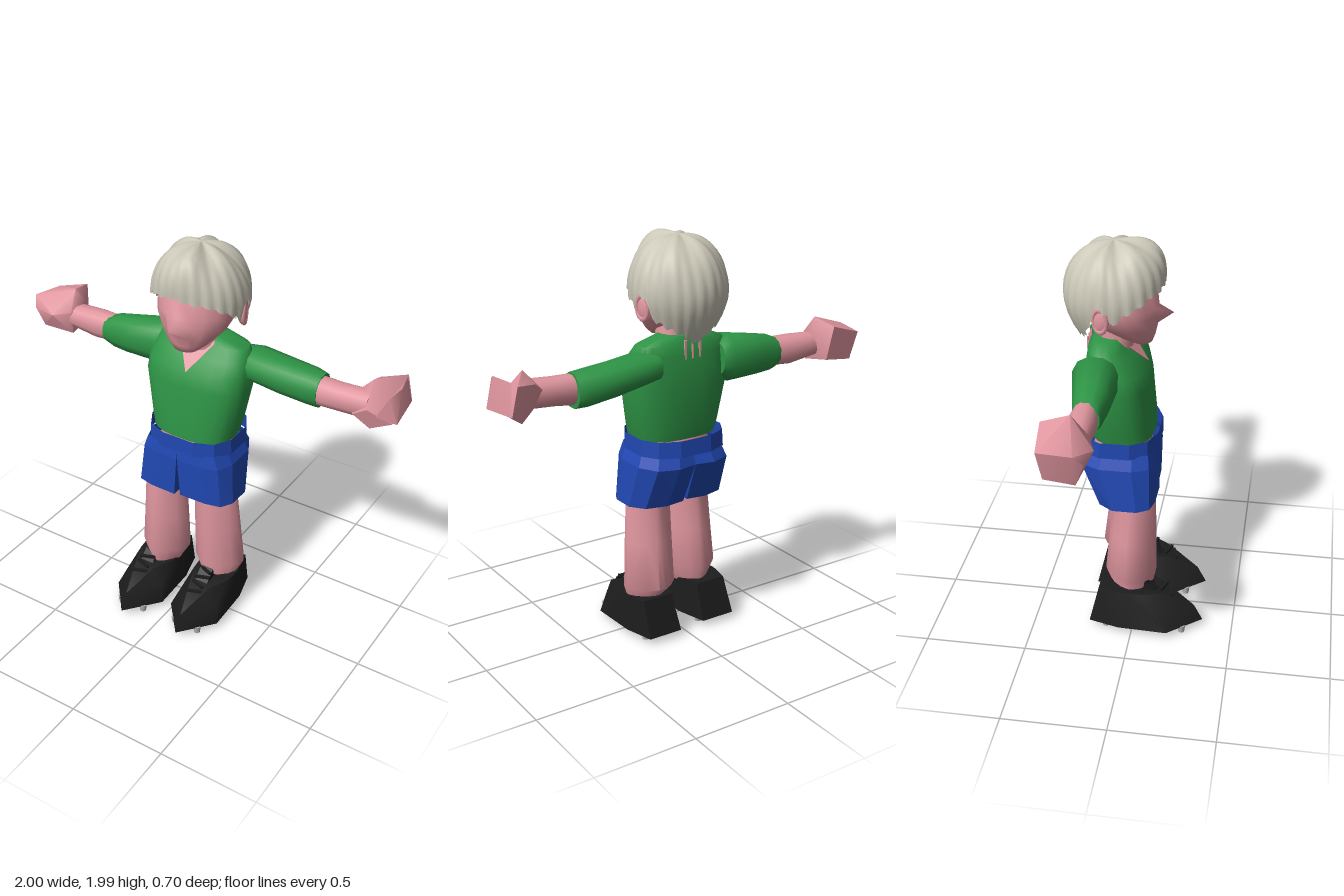
import * as THREE from 'three';
import { toCreasedNormals, mergeVertices } from 'three/addons/utils/BufferGeometryUtils.js';
import { ConvexGeometry } from 'three/addons/geometries/ConvexGeometry.js';

const mat = (name, color, side = THREE.FrontSide) =>
  Object.assign(new THREE.MeshStandardMaterial({ color, side }), { name });
const skin = mat('skin', 0xe0969f);
const shirt = mat('shirt green', 0x2e9446);
const blue = mat('shorts blue', 0x2148b2, THREE.DoubleSide);
const black = mat('boot black', 0x1d1d1d);
const blond = mat('hair blond', 0xcac7b7, THREE.DoubleSide);
const metal = mat('stud grey', 0xb4b4b0);

function add(parent, name, geometry, material, x = 0, y = 0, z = 0) {
  const mesh = new THREE.Mesh(geometry, material);
  mesh.name = name;
  mesh.position.set(x, y, z);
  parent.add(mesh);
  return mesh;
}

function indexed(pos, idx, crease) {
  const g = new THREE.BufferGeometry();
  g.setAttribute('position', new THREE.Float32BufferAttribute(pos, 3));
  g.setIndex(idx);
  return toCreasedNormals(g, crease);
}

// Unit outline: an ellipse, squarer as power drops, nearer a diamond as it grows
const round = (sides, power) => Array.from({ length: sides }, (_, j) => {
  const a = ((j + 0.5) / sides) * Math.PI * 2;
  return [Math.cos(a), Math.sin(a)].map(c => Math.sign(c) * Math.abs(c) ** power);
});

// Skin over scaled outlines. Along y: [y, x0, x1, z0, z1]; along x: [x, z0, z1, y0, y1].
function loft(axis, rings, { outline = round(16, 0.85), crease = 0.9, caps = true } = {}) {
  const pos = [], idx = [], sides = outline.length, n = rings.length;
  const put = (p, u, v) => (axis === 'y' ? pos.push(u, p, v) : pos.push(p, v, u));
  rings = [...rings].sort((a, b) => a[0] - b[0]);
  for (const [p, u0, u1, v0, v1] of rings) {
    for (const [u, v] of outline) put(p, (u0 + u1 + u * (u1 - u0)) / 2, (v0 + v1 + v * (v1 - v0)) / 2);
  }
  if (caps) for (const r of [rings[0], rings[n - 1]]) put(r[0], (r[1] + r[2]) / 2, (r[3] + r[4]) / 2);
  for (let j = 0; j < sides; j++) {
    const k = (j + 1) % sides, last = (n - 1) * sides, c = n * sides;
    for (let i = 0; i < last; i += sides) {
      idx.push(i + j, i + j + sides, i + k + sides, i + j, i + k + sides, i + k);
    }
    if (caps) idx.push(c, j, k, c + 1, last + k, last + j);
  }
  return indexed(pos, idx, crease);
}

function hull(points, crease) {
  const g = new ConvexGeometry(points.map(p => new THREE.Vector3(...p)));
  g.deleteAttribute('normal');
  return toCreasedNormals(mergeVertices(g), crease);
}

// Hair cap: a dome with ridged locks, a swept-up front and a hem that dips behind the ears
function hairGeometry() {
  const hem = [[0, 1.785], [0.7, 1.76], [1.2, 1.7], [1.5, 1.65], [1.7, 1.74], [1.85, 1.7], [2, 1.61], [2.5, 1.56], [3.15, 1.49]];
  const N = 96, M = 14, pos = [], idx = [];
  for (let i = 0; i <= M; i++) {
    const t = i / M, arch = Math.sin(Math.PI * t);
    for (let j = 0; j <= N; j++) {
      const phi = ((j % N) / N) * Math.PI * 2, fold = Math.min(phi, Math.PI * 2 - phi);
      const k = Math.max(1, hem.findIndex(h => h[0] >= fold));
      const [[a, ya], [b, yb]] = [hem[k - 1], hem[k]];
      const lock = Math.abs(Math.sin(phi * 12 + Math.sin(t * 5) * 0.5));
      const bottom = ya + (yb - ya) * (fold - a) / (b - a) + (fold < 1.2 ? 0.012 : 0.03) * (0.6 - lock);
      const y = 1.975 - (1.975 - bottom) * t * t;
      const h = (y - 1.72) / 0.255;
      const sweep = Math.max(0, Math.cos(phi)) ** 4 * arch;
      let r = h > 0 ? Math.max(0, 1 - h ** 2.15) ** 0.465 : 1 - 0.4 * ((1.72 - y) / 0.22) ** 1.7;
      r = r * (0.97 + 0.05 * lock * t) + 0.17 * sweep;
      const ruffle = 0.012 * Math.sin(phi * 6) * arch + 0.022 * sweep;
      pos.push(Math.sin(phi) * r * 0.23, y + ruffle, -0.115 + Math.cos(phi) * r * 0.236);
      const v = i * (N + 1) + j, d = v + N + 1;
      if (i < M && j < N) idx.push(v, d, d + 1, v, d + 1, v + 1);
    }
  }
  return indexed(pos, idx, 0.6);
}

// Face with the middle front point drawn out to a nose
function faceGeometry() {
  const g = loft('y', [[1.495, -0.06, 0.06, -0.03, 0.062], [1.53, -0.105, 0.105, -0.1, 0.075],
    [1.585, -0.155, 0.155, -0.2, 0.087], [1.64, -0.182, 0.182, -0.245, 0.095], [1.68, -0.19, 0.19, -0.265, 0.091],
    [1.8, -0.185, 0.185, -0.28, 0.08], [1.9, -0.12, 0.12, -0.22, 0.02]], { outline: round(18, 1) });
  const p = g.attributes.position;
  for (let i = 0; i < p.count; i++) {
    if (Math.abs(p.getX(i)) < 0.01 && Math.abs(p.getY(i) - 1.64) < 0.01 && p.getZ(i) > 0) p.setZ(i, 0.16);
  }
  return toCreasedNormals(g, Math.PI);
}

function buildHead() {
  const head = new THREE.Group();
  head.name = 'head';
  add(head, 'face', faceGeometry(), skin);
  add(head, 'hair', hairGeometry(), blond);
  for (const s of [-1, 1]) {
    const ear = add(head, 'ear', new THREE.SphereGeometry(1, 10, 8), skin, s * 0.202, 1.665, -0.145);
    ear.scale.set(0.022, 0.065, 0.042);
    ear.rotation.set(0.15, s * 0.3, 0);
    const rim = add(head, 'earRim', new THREE.TorusGeometry(0.04, 0.01, 6, 14), skin, s * 0.214, 1.667, -0.147);
    rim.scale.set(0.85, 1.35, 1);
    rim.rotation.y = Math.PI / 2 + s * 0.3;
  }
  return head;
}

function buildBoot(name, cx, z) {
  const boot = new THREE.Group();
  boot.name = name;
  const points = [[0, 0.035, 0.335], [0, 0.12, 0.29]];
  for (const s of [-1, 1]) {
    points.push([s * 0.09, 0.035, -0.23], [s * 0.13, 0.035, -0.08], [s * 0.14, 0.035, 0.165],
      [0.018 + s * 0.08, 0.225, -0.185], [0.018 + s * 0.108, 0.22, -0.06], [0.018 + s * 0.1, 0.215, 0.03],
      [0.01 + s * 0.055, 0.205, 0.13], [0.01 + s * 0.115, 0.12, 0.14]);
    for (const [dx, dz] of [[0.068, -0.15], [0.08, 0.12], [0.066, 0.235]]) {
      add(boot, 'stud', new THREE.CylinderGeometry(0.02, 0.016, 0.038, 8), metal, s * dx, 0.019, dz);
    }
  }
  add(boot, 'upper', hull(points, 0.6), black);
  add(boot, 'tongue', hull([[-0.03, 0.19, 0.12], [0.04, 0.19, 0.12], [-0.03, 0.265, 0.045], [0.04, 0.265, 0.045],
    [-0.03, 0.2, 0.03], [0.04, 0.2, 0.03]], 0.3), black);
  for (let i = 0; i < 4; i++) {
    const lace = add(boot, 'lace', new THREE.BoxGeometry(0.08, 0.013, 0.013), black, 0.005, 0.255 - i * 0.02, 0.06 + i * 0.037);
    lace.rotation.y = i % 2 ? 0.35 : -0.35;
  }
  boot.position.set(cx, 0, z);
  return boot;
}

export function createModel() {
  const model = new THREE.Group();
  model.name = 'footballPlayer';
  model.add(buildHead(), buildBoot('leftBoot', 0.142, 0), buildBoot('rightBoot', -0.182, 0.015));

  // Torso
  add(model, 'neck', loft('y', [[1.4, -0.1, 0.12, -0.2, -0.04], [1.51, -0.09, 0.1, -0.19, -0.02], [1.58, -0.09, 0.09, -0.2, 0]]), skin);
  add(model, 'jersey', loft('y', [[1.028, -0.2, 0.22, -0.222, 0.08], [1.09, -0.215, 0.235, -0.235, 0.077],
    [1.3, -0.258, 0.275, -0.248, 0.055], [1.38, -0.25, 0.27, -0.245, 0.038], [1.44, -0.235, 0.262, -0.238, -0.018],
    [1.49, -0.215, 0.24, -0.23, -0.058], [1.525, -0.12, 0.13, -0.21, -0.08]], { outline: round(24, 0.75) }), shirt);
  add(model, 'vNeckSkin', hull([[0.015, 1.378, 0.044], [-0.08, 1.505, -0.062], [0.105, 1.505, -0.062],
    [0.015, 1.44, -0.1], [-0.06, 1.53, -0.1], [0.085, 1.53, -0.1]], 0.1), skin);
  for (const x of [-0.04, 0, 0.04]) add(model, 'napeStrand', new THREE.BoxGeometry(0.01, 0.09, 0.008), skin, x, 1.465, -0.236);
  add(model, 'belly', loft('y', [[0.9, -0.18, 0.2, -0.22, 0.06], [0.95, -0.18, 0.2, -0.22, 0.06], [1.04, -0.17, 0.19, -0.19, 0.05]]), skin);

  // Shorts: pleated legs that meet at the middle, under a waistband
  const band = { outline: round(12, 0.75), crease: 0.1, caps: false };
  const pleats = [[1, -0.35], [1, 0.45], [0.72, 0.86], [0.1, 0.98], [-1, 1], [-1, -0.9], [-0.2, -1], [0.6, -0.82]];
  const mirrored = pleats.map(([u, v]) => [-u, v]).reverse();
  add(model, 'waistband', loft('y', [[0.965, -0.228, 0.243, -0.29, 0.11], [1.045, -0.224, 0.24, -0.285, 0.108]], band), blue);
  add(model, 'leftShortsLeg', loft('y', [[0.7, 0.014, 0.27, -0.2, 0.092], [0.91, 0.001, 0.25, -0.288, 0.1],
    [0.975, 0, 0.222, -0.262, 0.092]], { ...band, outline: pleats }), blue);
  add(model, 'rightShortsLeg', loft('y', [[0.7, -0.262, -0.014, -0.19, 0.102], [0.91, -0.238, -0.001, -0.288, 0.102],
    [0.975, -0.208, 0, -0.262, 0.092]], { ...band, outline: mirrored }), blue);
  add(model, 'shortsSeam', new THREE.BoxGeometry(0.032, 0.2, 0.14), blue, 0, 0.84, -0.04);

  // Legs
  const limb = { outline: round(16, 1.3) };
  add(model, 'leftLeg', loft('y', [[0.15, 0.06, 0.24, -0.14, 0.03], [0.21, 0.045, 0.255, -0.155, 0.035],
    [0.27, 0.006, 0.283, -0.208, 0.042], [0.5, 0.008, 0.268, -0.178, 0.046], [0.7, 0.01, 0.253, -0.153, 0.046],
    [0.92, 0.02, 0.22, -0.17, 0.03]], limb), skin);
  add(model, 'rightLeg', loft('y', [[0.15, -0.24, -0.07, -0.12, 0.08], [0.21, -0.23, -0.05, -0.12, 0.09],
    [0.29, -0.275, -0.006, -0.15, 0.108], [0.5, -0.258, -0.01, -0.13, 0.105], [0.7, -0.243, -0.016, -0.11, 0.102],
    [0.92, -0.21, -0.02, -0.14, 0.07]], limb), skin);

  // Left arm with a half-open hand
  const arm = { outline: round(12, 0.85) };
  add(model, 'leftSleeve', loft('x', [[0.18, -0.27, -0.1, 1.34, 1.46], [0.27, -0.29, -0.08, 1.325, 1.47],
    [0.42, -0.29, -0.095, 1.295, 1.455], [0.55, -0.285, -0.11, 1.278, 1.445], [0.61, -0.265, -0.118, 1.275, 1.438]], arm), shirt);
  add(model, 'leftForearm', loft('x', [[0.55, -0.25, -0.125, 1.285, 1.43], [0.7, -0.24, -0.115, 1.3, 1.43],
    [0.86, -0.24, -0.11, 1.31, 1.44]], arm), skin);
  add(model, 'leftPalm', hull([[0.74, 1.37, -0.2], [0.85, 1.49, -0.2], [0.84, 1.45, -0.3], [0.95, 1.47, -0.355],
    [0.98, 1.34, -0.355], [0.9, 1.28, -0.28], [0.88, 1.28, -0.13], [0.98, 1.33, -0.14], [0.8, 1.34, -0.11],
    [0.87, 1.39, -0.1]], 0.9), skin);
  add(model, 'leftFingers', hull([[0.96, 1.48, -0.32], [0.985, 1.485, -0.2], [0.96, 1.46, -0.13], [1, 1.33, -0.15],
    [0.98, 1.34, -0.35], [0.91, 1.36, -0.11], [0.94, 1.42, -0.25]], 0.9), skin);

  // Right arm with a closed fist
  add(model, 'rightSleeve', loft('x', [[-0.17, -0.26, -0.08, 1.3, 1.47], [-0.22, -0.28, -0.06, 1.265, 1.495],
    [-0.42, -0.24, -0.07, 1.265, 1.46], [-0.5, -0.225, -0.08, 1.27, 1.445], [-0.56, -0.21, -0.088, 1.295, 1.42]], arm), shirt);
  add(model, 'rightForearm', loft('x', [[-0.5, -0.21, -0.1, 1.29, 1.43], [-0.62, -0.225, -0.095, 1.285, 1.43],
    [-0.8, -0.22, -0.1, 1.31, 1.42]], arm), skin);
  add(model, 'rightFist', hull([[-1, 1.43, -0.12], [-0.97, 1.42, -0.28], [-0.95, 1.27, -0.12], [-0.94, 1.28, -0.26],
    [-0.78, 1.5, -0.17], [-0.8, 1.47, -0.295], [-0.74, 1.43, -0.2], [-0.77, 1.275, -0.12], [-0.78, 1.3, -0.27],
    [-0.76, 1.4, -0.1], [-0.85, 1.38, -0.06], [-0.97, 1.38, -0.08]], 1), skin);
  return model;
}
